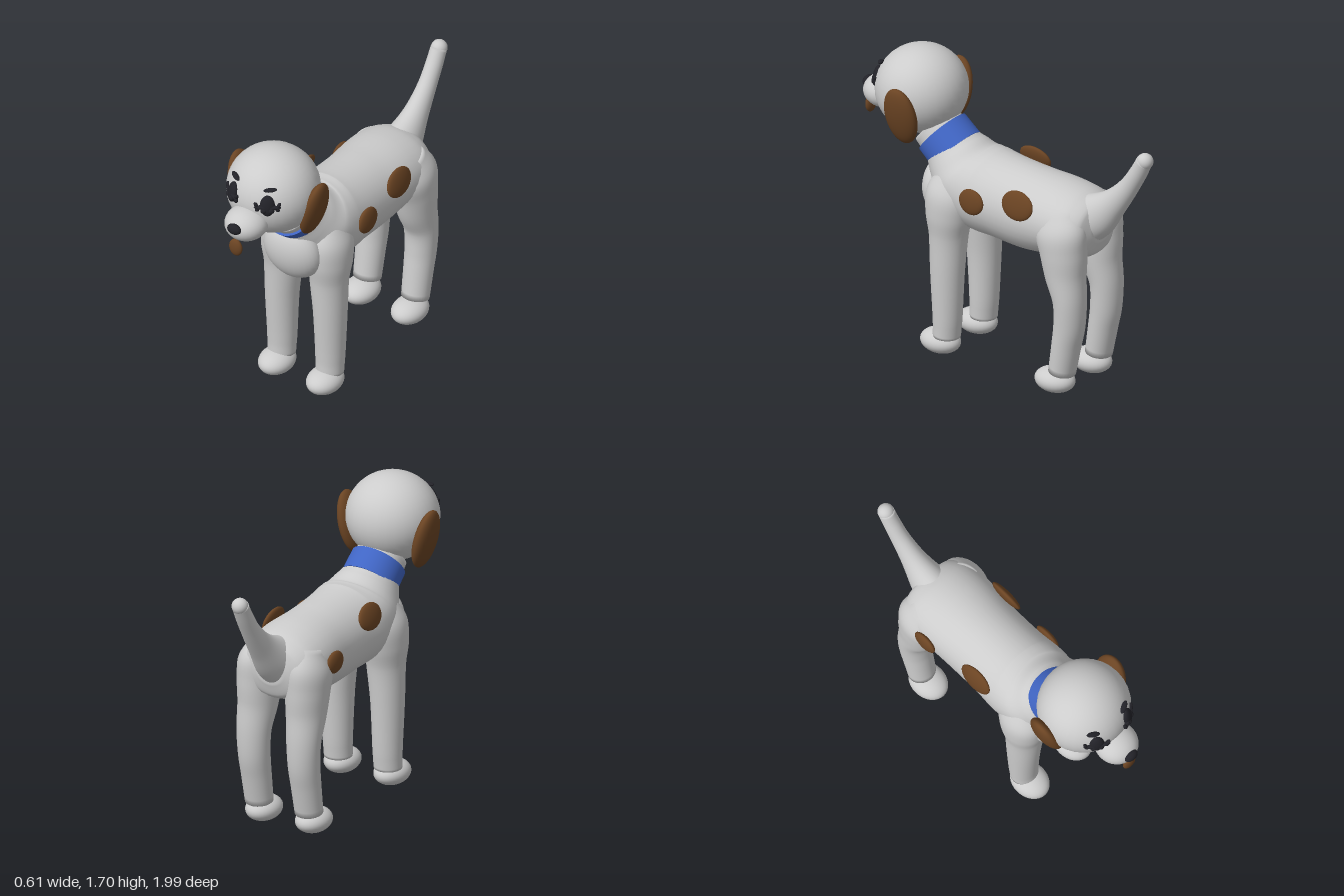
import * as THREE from 'three';

const mat = (name, color) => Object.assign(new THREE.MeshStandardMaterial({ color }), { name });

// Smooth tube through stations [x, y, z, halfWidth, halfDepth], closed at both ends
function loft(stations, rings = 36, sides = 32) {
  const path = new THREE.CatmullRomCurve3(stations.map(s => new THREE.Vector3(s[0], s[1], s[2])));
  const radii = new THREE.CatmullRomCurve3(
    stations.map(s => new THREE.Vector3(s[3], s[4], 0)), false, 'catmullrom', 0.5);
  const pos = [], index = [];
  for (let i = 0; i <= rings; i++) {
    const t = i / rings;
    const c = path.getPoint(t), r = radii.getPoint(t), d = path.getTangent(t);
    const a = Math.atan2(-d.y, d.z);
    for (let j = 0; j < sides; j++) {
      const q = (j / sides) * Math.PI * 2, u = r.y * Math.sin(q);
      pos.push(c.x + r.x * Math.cos(q), c.y + u * Math.cos(a), c.z + u * Math.sin(a));
    }
  }
  for (let i = 0; i < rings; i++) {
    for (let j = 0; j < sides; j++) {
      const k = (j + 1) % sides, a = i * sides, b = a + sides;
      index.push(a + j, a + k, b + k, a + j, b + k, b + j);
    }
  }
  const start = pos.length / 3, last = rings * sides;
  const p0 = path.getPoint(0), p1 = path.getPoint(1);
  pos.push(p0.x, p0.y, p0.z, p1.x, p1.y, p1.z);
  for (let j = 0; j < sides; j++) {
    const k = (j + 1) % sides;
    index.push(start, k, j, start + 1, last + j, last + k);
  }
  const g = new THREE.BufferGeometry();
  g.setAttribute('position', new THREE.Float32BufferAttribute(pos, 3));
  g.setIndex(index);
  g.computeVertexNormals();
  return g;
}

export function createModel() {
  const model = new THREE.Group();
  model.name = 'dog';
  const coat = mat('pale grey coat', 0xcccccc);
  const brown = mat('brown', 0x6b4423);
  const blue = mat('collar blue', 0x4065c4);
  const black = mat('black', 0x222228);
  const ball = new THREE.SphereGeometry(1, 32, 24);

  const add = (name, geometry, material, parent = model) => {
    const m = new THREE.Mesh(geometry, material);
    m.name = name;
    parent.add(m);
    return m;
  };
  const ellipsoid = (name, material, p, r, rot = [0, 0, 0], parent = model) => {
    const m = add(name, ball, material, parent);
    m.position.set(...p);
    m.scale.set(...r);
    m.rotation.set(...rot);
    return m;
  };

  // Torso, rump to neck
  add('body', loft([
    [0, 0.97, -0.65, 0.08, 0.07],
    [0, 0.97, -0.62, 0.18, 0.15],
    [0, 0.97, -0.54, 0.235, 0.19],
    [0, 0.975, -0.4, 0.245, 0.213],
    [0, 0.965, -0.2, 0.235, 0.233],
    [0, 0.975, 0, 0.235, 0.235],
    [0, 0.99, 0.15, 0.245, 0.24],
    [0, 1.04, 0.26, 0.235, 0.215],
    [0, 1.11, 0.34, 0.19, 0.185],
    [0, 1.18, 0.41, 0.15, 0.15],
    [0, 1.26, 0.5, 0.14, 0.14],
  ], 60), coat);
  ellipsoid('chest', coat, [0, 0.925, 0.42], [0.18, 0.18, 0.11], [0.15, 0, 0]);

  // Tail
  add('tail', loft([
    [0, 0.98, -0.5, 0.14, 0.15],
    [0, 1.05, -0.62, 0.1, 0.125],
    [0, 1.15, -0.73, 0.068, 0.082],
    [0, 1.27, -0.83, 0.052, 0.058],
    [0, 1.38, -0.9, 0.048, 0.05],
    [0, 1.465, -0.945, 0.046, 0.046],
  ]), coat);
  ellipsoid('tailTip', coat, [0, 1.465, -0.948], [0.046, 0.046, 0.046]);

  // Legs and paws
  const frontLeg = [
    [0.12, 1.1, 0.27, 0.08, 0.09], [0.15, 0.98, 0.28, 0.115, 0.14],
    [0.155, 0.85, 0.29, 0.12, 0.135], [0.152, 0.72, 0.295, 0.108, 0.11],
    [0.16, 0.5, 0.297, 0.094, 0.096], [0.16, 0.2, 0.297, 0.083, 0.08],
    [0.16, 0.11, 0.302, 0.08, 0.076],
  ];
  const hindLeg = [
    [0.12, 1.08, -0.46, 0.09, 0.11], [0.15, 0.97, -0.485, 0.118, 0.155],
    [0.155, 0.85, -0.505, 0.118, 0.14], [0.155, 0.72, -0.52, 0.11, 0.12],
    [0.16, 0.57, -0.553, 0.098, 0.092], [0.16, 0.42, -0.55, 0.09, 0.087],
    [0.16, 0.3, -0.53, 0.085, 0.081], [0.16, 0.13, -0.5, 0.08, 0.075],
  ];
  for (const s of [1, -1]) {
    const side = s > 0 ? 'left' : 'right';
    for (const [name, stations, pawZ] of [['FrontLeg', frontLeg, 0.345], ['HindLeg', hindLeg, -0.45]]) {
      add(side + name, loft(stations.map(([x, ...rest]) => [s * x, ...rest])), coat);
      ellipsoid(side + name + 'Paw', coat, [s * 0.16, 0.069, pawZ], [0.096, 0.069, 0.121]);
    }
  }

  // Collar, tilted along the neck
  const collar = add('collar', new THREE.CylinderGeometry(0.157, 0.16, 0.13, 48), blue);
  collar.position.set(0, 1.185, 0.41);
  collar.rotation.x = 0.88;

  // Head
  ellipsoid('head', coat, [0, 1.452, 0.603], [0.26, 0.248, 0.256]);
  ellipsoid('muzzle', coat, [0, 1.362, 0.855], [0.12, 0.093, 0.125]);
  ellipsoid('nose', black, [0, 1.385, 0.972], [0.043, 0.031, 0.027]);
  ellipsoid('tongue', brown, [0, 1.255, 0.957], [0.042, 0.053, 0.021]);

  for (const s of [1, -1]) {
    const side = s > 0 ? 'left' : 'right';
    ellipsoid(side + 'Ear', brown, [s * 0.24, 1.38, 0.558], [0.05, 0.177, 0.106], [0, 0, s * -0.23]);
    ellipsoid(side + 'Brow', black, [s * 0.115, 1.59, 0.796], [0.038, 0.011, 0.016], [0, s * 0.5, s * 0.2]);

    // Eye with a beaded band across it
    const eye = new THREE.Group();
    eye.name = side + 'Eye';
    eye.position.set(s * 0.115, 1.5, 0.822);
    eye.rotation.y = s * 0.58;
    model.add(eye);
    ellipsoid('eyeball', black, [0, 0, 0], [0.042, 0.061, 0.024], [-0.2, 0, 0], eye);
    ellipsoid('band', black, [0, -0.005, 0.008], [0.075, 0.014, 0.016], [0, 0, 0], eye);
    for (const e of [1, -1]) {
      ellipsoid('lash', black, [e * 0.062, 0.006, 0.004], [0.01, 0.02, 0.012], [0, 0, e * -0.5], eye);
      ellipsoid('lash', black, [e * 0.055, -0.02, 0.004], [0.012, 0.016, 0.012], [0, 0, e * 0.5], eye);
      ellipsoid('bead', black, [e * 0.02, -0.022, 0.016], [0.018, 0.018, 0.014], [0, 0, 0], eye);
    }
  }

  // Coat spots: x, y, z, half-height, half-length
  const spots = [
    [0.245, 1.01, 0.065, 0.073, 0.082], [0.232, 1.075, -0.245, 0.083, 0.105],
    [-0.235, 1.12, 0, 0.075, 0.105], [-0.252, 0.99, -0.38, 0.062, 0.075],
  ];
  for (const [x, y, z, h, l] of spots) {
    ellipsoid('spot', brown, [x, y, z], [0.025, h, l], [0, 0, Math.sign(x) * (y - 0.97) * 2]);
  }
  return model;
}
